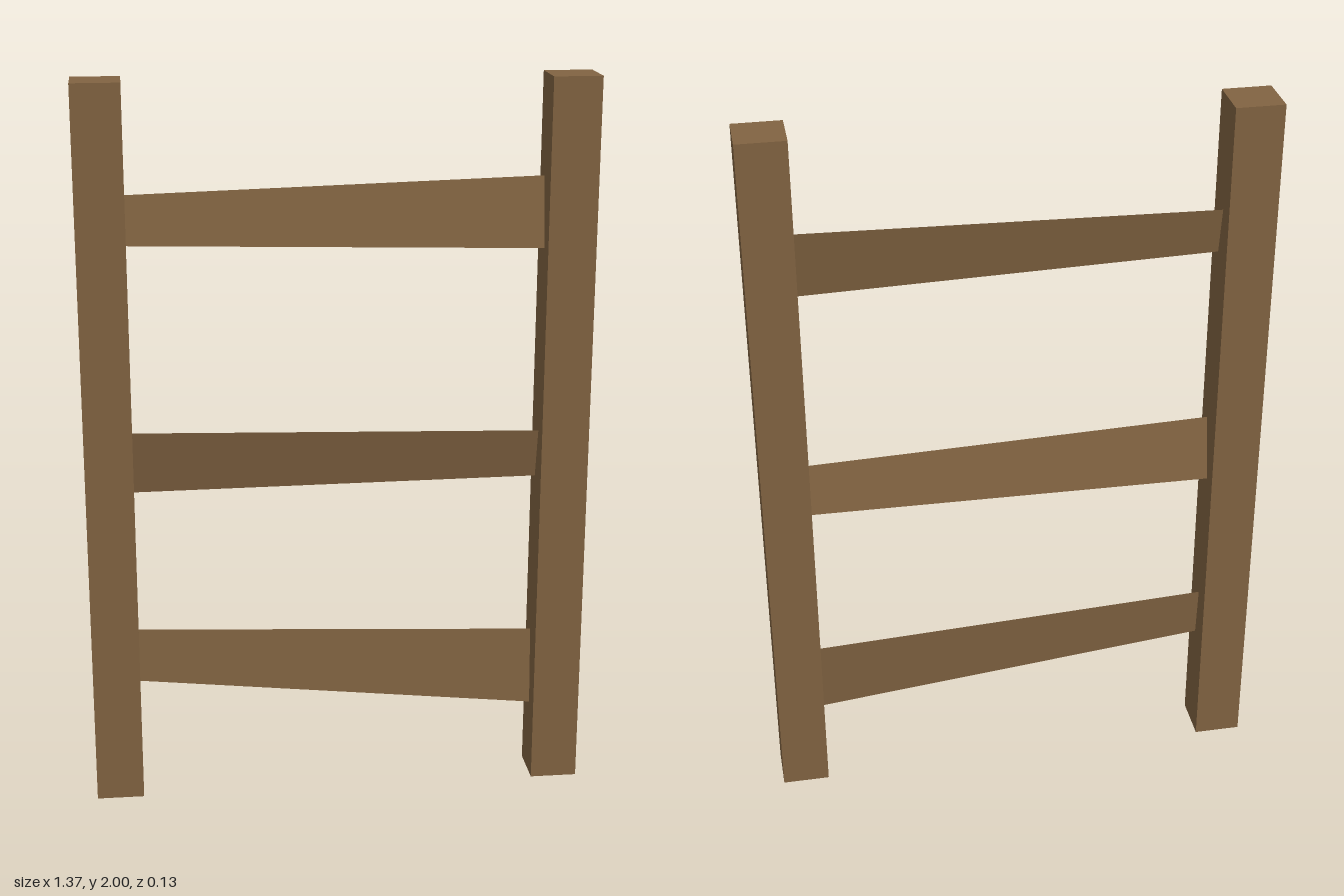
import * as THREE from 'three';

// Thin tapered board between the posts; heights are [bottom, top] at each end.
// A positive lean pushes the bottom edge forward and the top edge back.
function makeSlat(name, rightEnd, leftEnd, lean, material) {
  const geometry = new THREE.PlaneGeometry(1.12, 1);
  const pos = geometry.attributes.position;
  for (let i = 0; i < pos.count; i++) {
    const [bottom, top] = pos.getX(i) < 0 ? rightEnd : leftEnd;
    const side = pos.getY(i) * 2;
    const half = (top - bottom) / 2;
    pos.setY(i, (top + bottom) / 2 + side * half);
    pos.setZ(i, -side * half * lean);
  }
  geometry.computeVertexNormals();
  const slat = new THREE.Mesh(geometry, material);
  slat.name = name;
  return slat;
}

export function createModel() {
  const group = new THREE.Group();
  group.name = 'fenceSection';
  const wood = new THREE.MeshStandardMaterial({ color: 0x826442 });
  wood.name = 'brownWood';
  wood.side = THREE.DoubleSide;
  wood.flatShading = true;

  // Square posts
  for (const side of [-1, 1]) {
    const post = new THREE.Mesh(new THREE.BoxGeometry(0.13, 2, 0.13), wood);
    post.name = side < 0 ? 'rightPost' : 'leftPost';
    post.position.set(side * 0.62, 1, 0);
    group.add(post);
  }

  // Uneven slats
  group.add(
    makeSlat('topSlat', [1.57, 1.7], [1.54, 1.73], 0.17, wood),
    makeSlat('middleSlat', [0.88, 1.06], [0.89, 1.03], -0.2, wood),
    makeSlat('bottomSlat', [0.33, 0.48], [0.21, 0.43], 0.08, wood)
  );
  return group;
}
